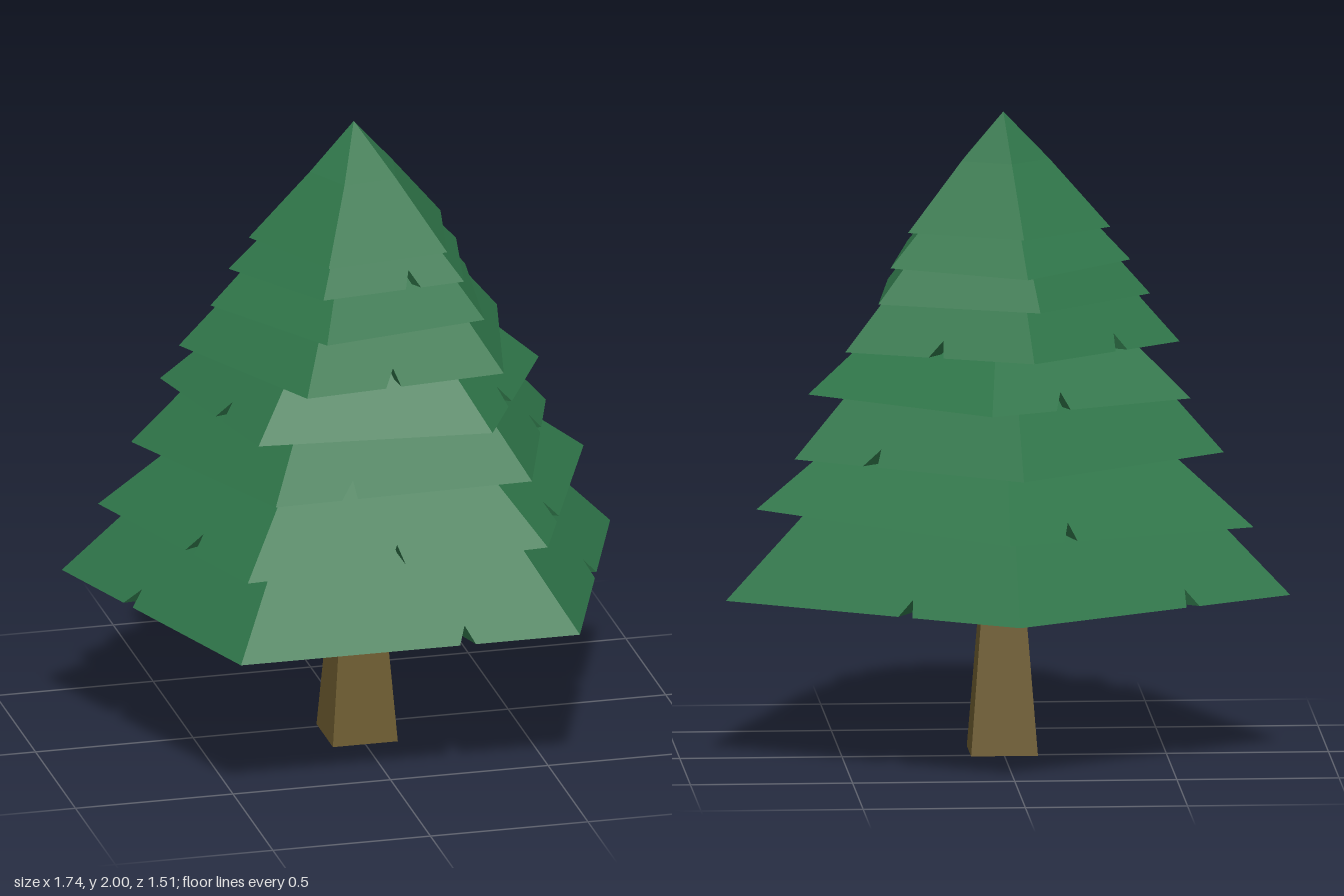
import * as THREE from 'three';

const SIDES = 5, CENTRE_Z = 0.075, DEPTH = 0.912;

// Rim radius/height, upper radius, rise, twist, x and z tilt, and
// notches: side number (0 = back to left, going round) -> position along it
const TIERS = [
  { r: 0.915, y: 0.52, top: 0.61, rise: 0.3, twist: 0, tx: 0, tz: 0, notches: { 0: 0.39, 1: 0.48, 2: 0.33, 3: 0.63, 4: 0.36 } },
  { r: 0.805, y: 0.765, top: 0.49, rise: 0.25, twist: 0.03, tx: 0.042, tz: 0.01, notches: { 1: 0.72, 2: 0.5, 3: 0.39, 4: 0.75 } },
  { r: 0.698, y: 0.958, top: 0.465, rise: 0.25, twist: -0.035, tx: 0, tz: 0.026, notches: { 0: 0.67, 1: 0.37, 2: 0.71 } },
  { r: 0.62, y: 1.135, top: 0.37, rise: 0.22, twist: 0.11, tx: 0.004, tz: 0.003, notches: { 1: 0.62, 3: 0.4, 4: 0.64 } },
  { r: 0.55, y: 1.285, top: 0.37, rise: 0.2, twist: -0.12, tx: -0.005, tz: -0.003, notches: { 0: 0.52, 2: 0.56, 4: 0.4 } },
  { r: 0.455, y: 1.43, top: 0.32, rise: 0.15, twist: -0.2, tx: 0, tz: 0, notches: {} },
  { r: 0.396, y: 1.542, top: 0.25, rise: 0.15, twist: -0.14, tx: 0, tz: 0.045, notches: { 2: 0.36 } },
  { r: 0.334, y: 1.64, top: 0.145, rise: 0.21, twist: -0.14, tx: 0, tz: -0.003, notches: {} },
];

function tierPoint(t, k, radius, height) {
  const a = (k / SIDES) * Math.PI * 2 + t.twist;
  const x = radius * Math.sin(a), z = -radius * DEPTH * Math.cos(a);
  return new THREE.Vector3(x, t.y + height + t.tx * x + t.tz * z, z + CENTRE_Z);
}

function fromTriangles(points) {
  const g = new THREE.BufferGeometry().setFromPoints(points);
  g.computeVertexNormals();
  return g;
}

// Five-sided skirt with V-shaped nicks cut up into its rim
function tierGeometry(t) {
  const tris = [];
  const under = new THREE.Vector3(0, t.y, CENTRE_Z);
  const lid = new THREE.Vector3(0, t.y + t.rise, CENTRE_Z);
  for (let k = 0; k < SIDES; k++) {
    const a = tierPoint(t, k, t.r, 0), b = tierPoint(t, k + 1, t.r, 0);
    const ta = tierPoint(t, k, t.top, t.rise), tb = tierPoint(t, k + 1, t.top, t.rise);
    tris.push(lid, tb, ta);
    const f = t.notches[k];
    if (f === undefined) {
      tris.push(a, ta, tb, a, tb, b, under, a, b);
      continue;
    }
    const half = 0.025 / a.distanceTo(b);
    const n1 = a.clone().lerp(b, f - half), n3 = a.clone().lerp(b, f + half);
    const tip = a.clone().lerp(b, f - half * 0.4)
      .lerp(ta.clone().lerp(tb, f), 0.05 / t.rise);
    tris.push(a, ta, n1, n1, ta, tip, tip, ta, tb, tip, tb, n3, n3, tb, b);
    tris.push(under, a, n1, under, n1, tip, under, tip, n3, under, n3, b);
  }
  return fromTriangles(tris);
}

// Pointed cap whose peak leans slightly backwards
function peakGeometry(t) {
  const tris = [], apex = new THREE.Vector3(0, 2, 0.04);
  for (let k = 0; k < SIDES; k++) {
    tris.push(tierPoint(t, k, t.top, t.rise), apex, tierPoint(t, k + 1, t.top, t.rise));
  }
  return fromTriangles(tris);
}

export function createModel() {
  const tree = new THREE.Group();
  tree.name = 'pineTree';
  const leaves = new THREE.MeshStandardMaterial({ color: 0x2f7549, flatShading: true });
  const bark = new THREE.MeshStandardMaterial({ color: 0x6e5c30, flatShading: true });

  // Square tapered trunk
  const trunkGeometry = new THREE.CylinderGeometry(0.062 * Math.SQRT2, 0.103 * Math.SQRT2, 0.53, 4);
  trunkGeometry.rotateY(Math.PI / 4);
  const trunk = new THREE.Mesh(trunkGeometry, bark);
  trunk.name = 'trunk';
  trunk.position.set(0, 0.265, 0.082);
  tree.add(trunk);

  // Stacked foliage
  TIERS.forEach((t, i) => {
    const tier = new THREE.Mesh(tierGeometry(t), leaves);
    tier.name = `foliageTier${i + 1}`;
    tree.add(tier);
  });
  const peak = new THREE.Mesh(peakGeometry(TIERS[TIERS.length - 1]), leaves);
  peak.name = 'treePeak';
  tree.add(peak);

  return tree;
}
